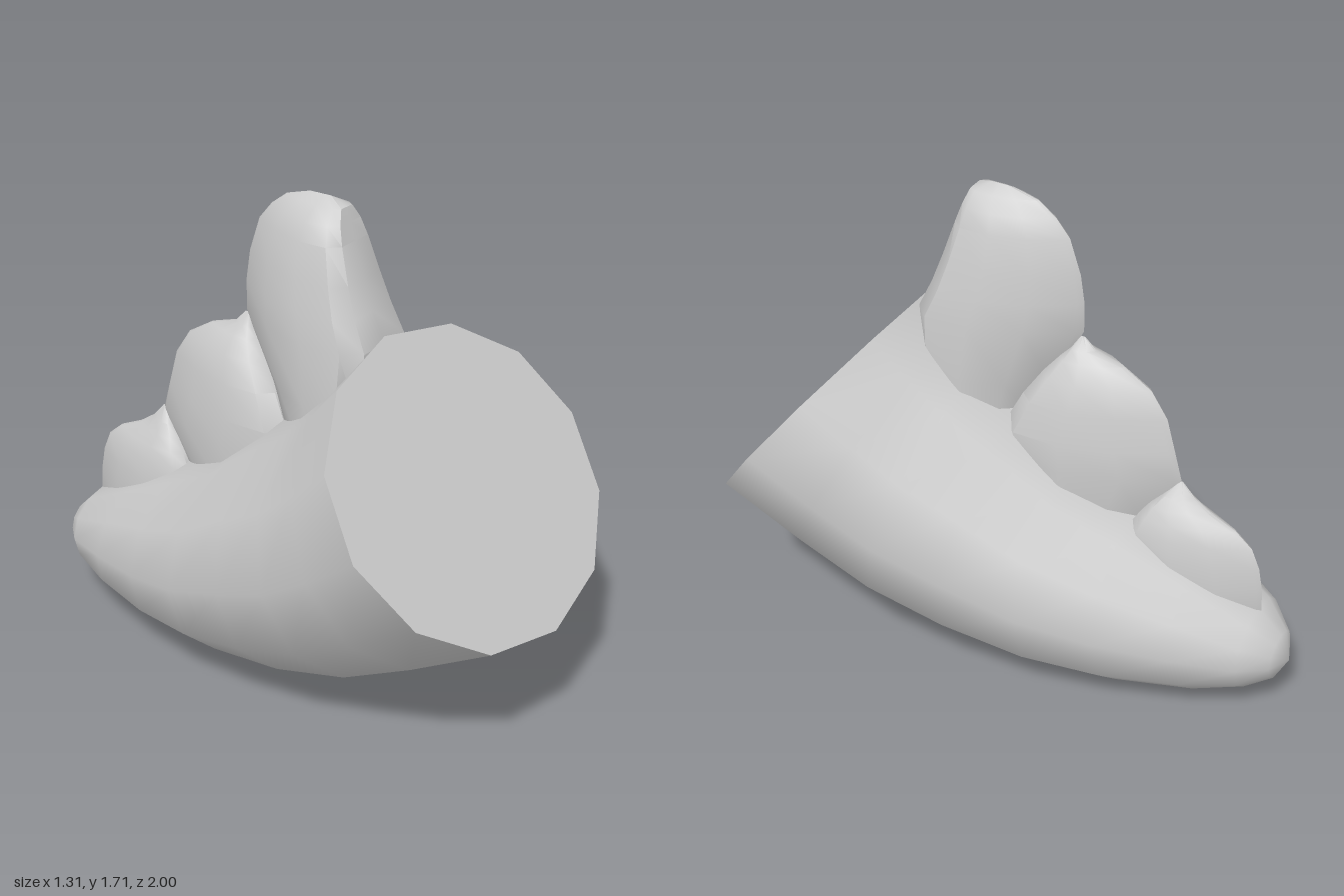
import * as THREE from 'three';
import { mergeVertices, toCreasedNormals } from 'three/addons/utils/BufferGeometryUtils.js';

const material = new THREE.MeshStandardMaterial({ color: 0xcccccc });

// Skin a list of closed rings (arrays of Vector3) into one surface.
function loft(rings) {
  const n = rings[0].length;
  const index = [];
  for (let i = 0; i < rings.length - 1; i++) {
    for (let j = 0; j < n; j++) {
      const a = i * n + j, b = i * n + (j + 1) % n;
      index.push(a, b, a + n, b, b + n, a + n);
    }
  }
  const geometry = new THREE.BufferGeometry().setFromPoints(rings.flat());
  geometry.setIndex(index);
  const merged = mergeVertices(geometry, 1e-4);
  merged.computeVertexNormals();
  return merged;
}

function addMesh(parent, name, geometry) {
  const mesh = new THREE.Mesh(geometry, material);
  mesh.name = name;
  parent.add(mesh);
}

// Tilted twelve-sided ring: top point, bottom point and half width.
function bodyRing([topZ, topY, bottomZ, bottomY, w]) {
  return Array.from({ length: 12 }, (_, i) => {
    const a = i * Math.PI / 6, t = (1 + Math.cos(a)) / 2;
    return new THREE.Vector3(
      w * Math.sin(a),
      THREE.MathUtils.lerp(bottomY, topY, t),
      THREE.MathUtils.lerp(bottomZ, topZ, t)
    );
  });
}

// Half outline of a plate: [width fraction, depth fraction from front to back].
const PLATE = [[0, 0], [0.66, 0], [1, 0.1], [1, 0.38], [0.66, 0.7], [0.13, 0.97], [0, 1]];
const PLATE_OUTLINE = [...PLATE, ...PLATE.slice(1, -1).reverse().map(([x, d]) => [-x, d])];

function plateRing([y, front, back, w]) {
  return PLATE_OUTLINE.map(([x, d]) =>
    new THREE.Vector3(x * w, y, THREE.MathUtils.lerp(front, back, d)));
}

// Horizontal slices, bottom to top: y, front z, back z, half width.
const PLATES = {
  largePlate: [
    [0.90, 0.24, -0.04, 0.18], [1.05, 0.31, -0.12, 0.185], [1.26, 0.33, -0.215, 0.172],
    [1.36, 0.285, -0.215, 0.155], [1.46, 0.25, -0.20, 0.135], [1.58, 0.213, -0.16, 0.108],
    [1.64, 0.195, -0.11, 0.084], [1.685, 0.18, -0.05, 0.045], [1.71, 0.12, 0.04, 0]
  ],
  middlePlate: [
    [0.60, 0.0, -0.48, 0.15], [0.80, 0.01, -0.58, 0.157], [0.90, 0.02, -0.553, 0.15],
    [1.02, -0.04, -0.52, 0.128], [1.11, -0.10, -0.46, 0.098],
    [1.17, -0.15, -0.36, 0.062], [1.20, -0.18, -0.26, 0.035], [1.24, -0.205, -0.22, 0]
  ],
  smallPlate: [
    [0.30, -0.46, -0.87, 0.11], [0.38, -0.45, -0.89, 0.113], [0.47, -0.44, -0.885, 0.114],
    [0.55, -0.43, -0.87, 0.112], [0.62, -0.43, -0.84, 0.1], [0.67, -0.46, -0.78, 0.085],
    [0.71, -0.49, -0.69, 0.064], [0.75, -0.53, -0.63, 0.04], [0.80, -0.575, -0.585, 0]
  ]
};

export function createModel() {
  const model = new THREE.Group();
  model.name = 'platedTail';

  // Tapering body, from the cut front end to the rounded tip
  const rings = [
    [0.33, 1.285, 1, 0.44, 0.655], [0.23, 1.16, 0.68, 0.26, 0.61],
    [0.12, 1.05, 0.4, 0.12, 0.57], [-0.02, 0.945, 0.1, 0.035, 0.52],
    [-0.22, 0.775, -0.2, 0.003, 0.455], [-0.44, 0.65, -0.46, 0.003, 0.37],
    [-0.66, 0.52, -0.72, 0.045, 0.27], [-0.88, 0.395, -0.88, 0.1, 0.175],
    [-0.965, 0.31, -0.965, 0.15, 0.09], [-1, 0.22, -1, 0.22, 0]
  ].map(bodyRing);
  addMesh(model, 'body', loft(rings));

  // Flat cut end
  const cap = new THREE.BufferGeometry().setFromPoints(rings[0]);
  const fan = [];
  for (let i = 1; i < 11; i++) fan.push(0, i + 1, i);
  cap.setIndex(fan);
  cap.computeVertexNormals();
  addMesh(model, 'cutEnd', cap);

  // Row of three plates along the back
  for (const [name, slices] of Object.entries(PLATES)) {
    addMesh(model, name, toCreasedNormals(loft(slices.map(plateRing)), 0.75));
  }
  return model;
}
